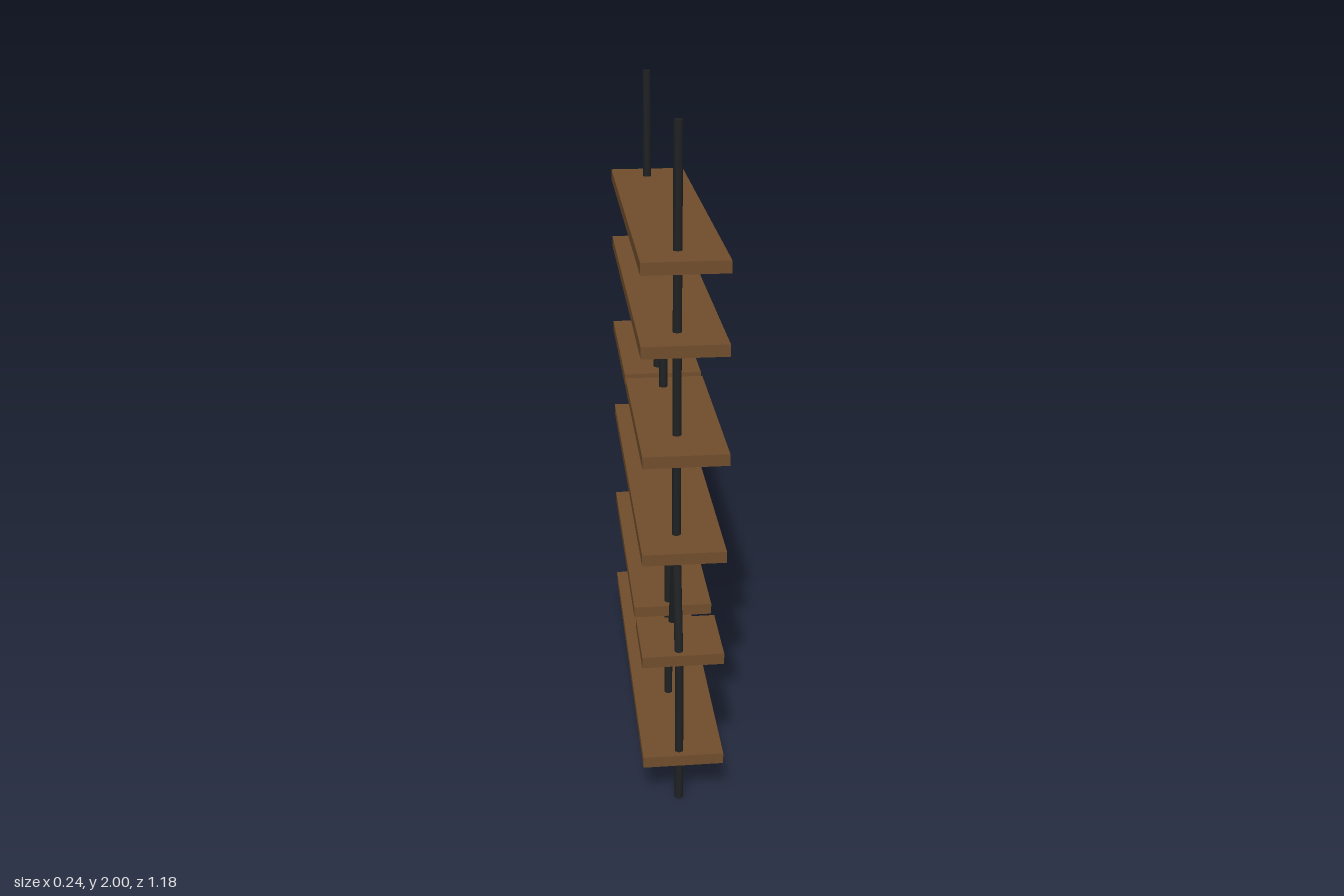
import * as THREE from 'three';

export function createModel() {
  const model = new THREE.Group();
  model.name = 'shelvingUnit';

  const wood = new THREE.MeshStandardMaterial({ color: 0x704d2c });
  wood.name = 'brown wood';
  const metal = new THREE.MeshStandardMaterial({ color: 0x1f2123 });
  metal.name = 'black metal';

  const DEPTH = 0.236, THICK = 0.034, ROD_X = -0.01, ROD_R = 0.0125;

  // Boards: [name, centre height, back z, front z]
  const boards = [
    ['topShelf', 1.643, -0.588, 0.564],
    ['upperShelf', 1.418, -0.588, 0.564],
    ['splitShelfFront', 1.119, -0.018, 0.592],
    ['splitShelfBack', 1.119, -0.59, -0.052],
    ['middleShelf', 0.813, -0.588, 0.564],
    ['smallShelf', 0.477, 0.326, 0.547],
    ['lowerShelf', 0.477, -0.58, 0.258],
    ['bottomShelf', 0.148, -0.588, 0.564],
  ];
  for (const [name, y, z0, z1] of boards) {
    const board = new THREE.Mesh(new THREE.BoxGeometry(DEPTH, THICK, z1 - z0), wood);
    board.name = name;
    board.position.set(0, y, (z0 + z1) / 2);
    model.add(board);
  }

  // Rods: [name, bottom y, bottom z, top y, top z]
  const rods = [
    ['backPost', 0.017, -0.479, 1.994, -0.473],
    ['frontUpperPost', 0.8, 0.441, 2, 0.453],
    ['frontFoot', 0, 0.534, 0.477, 0.534],
    ['forkLegFront', 0.477, 0.522, 0.805, 0.441],
    ['forkLegBack', 0.477, 0.343, 0.805, 0.441],
    ['middlePost', 0.15, 0.218, 0.81, 0.229],
    ['hangerFront', 1.12, 0.06, 1.415, 0.058],
    ['hangerBack', 1.12, -0.119, 1.415, -0.121],
  ];
  const up = new THREE.Vector3(0, 1, 0);
  for (const [name, y0, z0, y1, z1] of rods) {
    const a = new THREE.Vector3(ROD_X, y0, z0);
    const b = new THREE.Vector3(ROD_X, y1, z1);
    const dir = b.clone().sub(a);
    const rod = new THREE.Mesh(new THREE.CylinderGeometry(ROD_R, ROD_R, dir.length(), 12), metal);
    rod.name = name;
    rod.position.copy(a).add(b).multiplyScalar(0.5);
    rod.quaternion.setFromUnitVectors(up, dir.normalize());
    model.add(rod);
  }

  return model;
}
